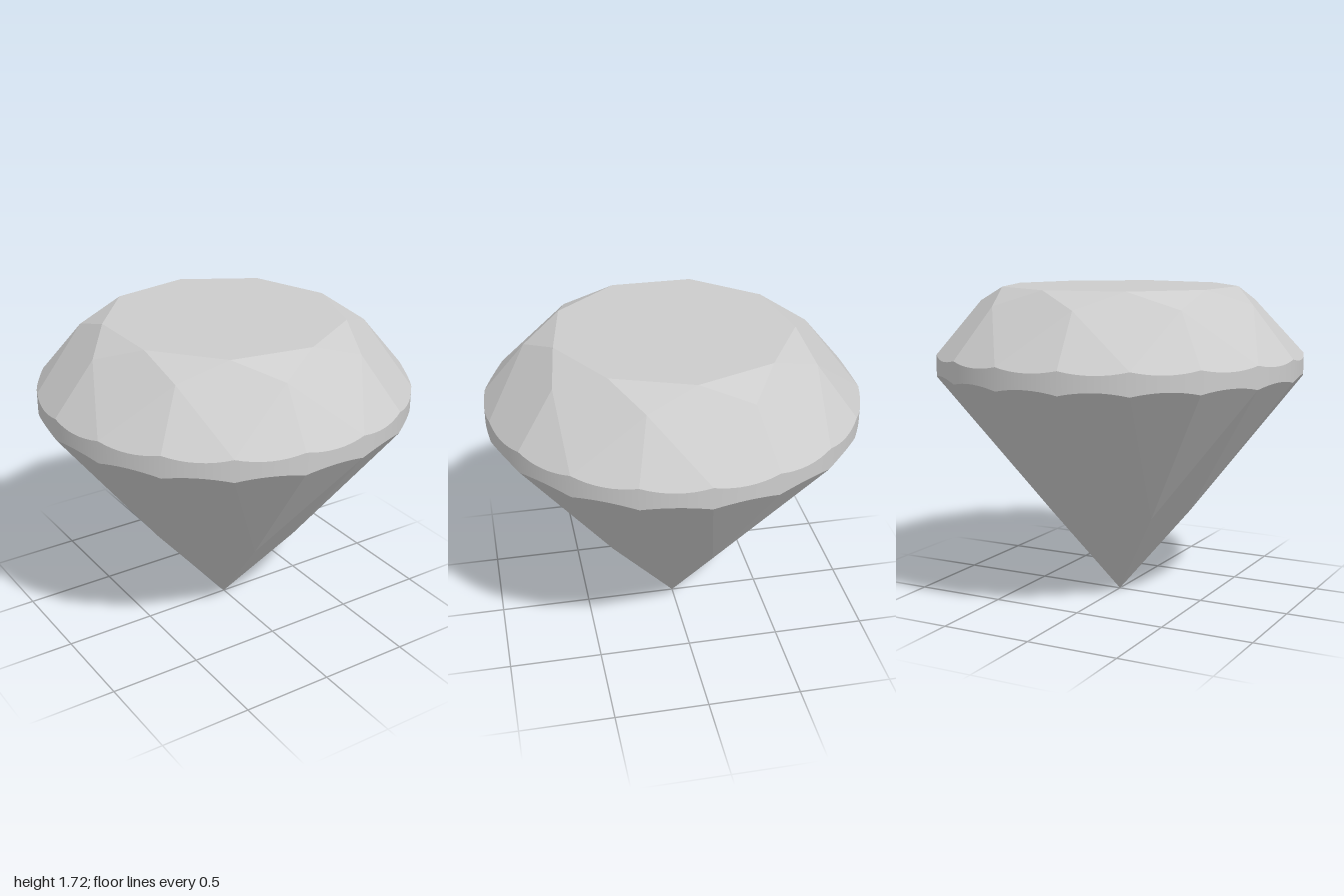
import * as THREE from 'three';

const FOLD = 9;                       // nine-fold brilliant cut
const STEP = (Math.PI * 2) / FOLD;
const ARC = 8;                        // segments along each girdle scallop
const TABLE_Y = 1.715, CROWN_Y = 1.36, PAVILION_Y = 1.24;

const polar = (r, y, a) => new THREE.Vector3(r * Math.cos(a), y, r * Math.sin(a));

// Collects flat convex facets, each fanned and turned to face outward
class Facets {
  constructor() { this.points = []; }
  add(...p) {
    const inside = new THREE.Vector3(0, 1.2, 0);
    const n = new THREE.Plane().setFromCoplanarPoints(p[0], p[1], p[p.length - 1]).normal;
    if (n.dot(p[0].clone().sub(inside)) < 0) p.reverse();
    for (let i = 1; i < p.length - 1; i++) this.points.push(p[0], p[i], p[i + 1]);
  }
  mesh(name, material) {
    const geometry = new THREE.BufferGeometry().setFromPoints(this.points);
    geometry.computeVertexNormals();
    const mesh = new THREE.Mesh(geometry, material);
    mesh.name = name;
    return mesh;
  }
}

// Curve where the plane of a girdle facet meets the unit cylinder
function scallop(tip, y, a0, a1) {
  const plane = new THREE.Plane().setFromCoplanarPoints(tip, polar(1, y, a0), polar(1, y, a1));
  const { normal: n, constant: c } = plane;
  return Array.from({ length: ARC + 1 }, (_, i) => {
    const p = polar(1, 0, a0 + ((a1 - a0) * i) / ARC);
    p.y = -(c + n.x * p.x + n.z * p.z) / n.y;
    return p;
  });
}

export function createModel() {
  const group = new THREE.Group();
  group.name = 'cutGem';
  const stone = new THREE.MeshStandardMaterial({ color: 0xcccccc });
  stone.name = 'pale grey stone';

  const table = new Facets(), crown = new Facets(), pavilion = new Facets();
  const culet = new THREE.Vector3(0, 0, 0);
  const tablePoint = (k) => polar(0.643, TABLE_Y, k * STEP);
  const crownPoint = (k) => polar(0.777, 1.628, (k + 0.5) * STEP);
  const pavilionPoint = (k) => polar(0.43, 0.501, (k + 0.5) * STEP);
  const girdlePositions = [], girdleNormals = [];

  table.add(...Array.from({ length: FOLD }, (_, k) => tablePoint(k)));

  for (let k = 0; k < FOLD; k++) {
    // Main kites and star facets
    crown.add(tablePoint(k), crownPoint(k), polar(1, CROWN_Y, k * STEP), crownPoint(k - 1));
    crown.add(tablePoint(k), crownPoint(k), tablePoint(k + 1));
    pavilion.add(culet, pavilionPoint(k), polar(1, PAVILION_Y, k * STEP), pavilionPoint(k - 1));

    // Paired girdle facets with the band between them
    for (const h of [0, 0.5]) {
      const a0 = (k + h) * STEP, a1 = a0 + STEP / 2;
      const top = scallop(crownPoint(k), CROWN_Y, a0, a1);
      const bottom = scallop(pavilionPoint(k), PAVILION_Y, a0, a1);
      crown.add(crownPoint(k), ...top);
      pavilion.add(pavilionPoint(k), ...bottom);
      for (let i = 0; i < ARC; i++) {
        const quad = [bottom[i], top[i], top[i + 1], bottom[i], top[i + 1], bottom[i + 1]];
        for (const p of quad) {
          girdlePositions.push(p.x, p.y, p.z);
          girdleNormals.push(p.x, 0, p.z);
        }
      }
    }
  }

  // Smooth girdle band
  const band = new THREE.BufferGeometry();
  band.setAttribute('position', new THREE.Float32BufferAttribute(girdlePositions, 3));
  band.setAttribute('normal', new THREE.Float32BufferAttribute(girdleNormals, 3));
  const girdle = new THREE.Mesh(band, stone);
  girdle.name = 'girdle';

  group.add(
    table.mesh('table', stone),
    crown.mesh('crown', stone),
    girdle,
    pavilion.mesh('pavilion', stone),
  );
  return group;
}
